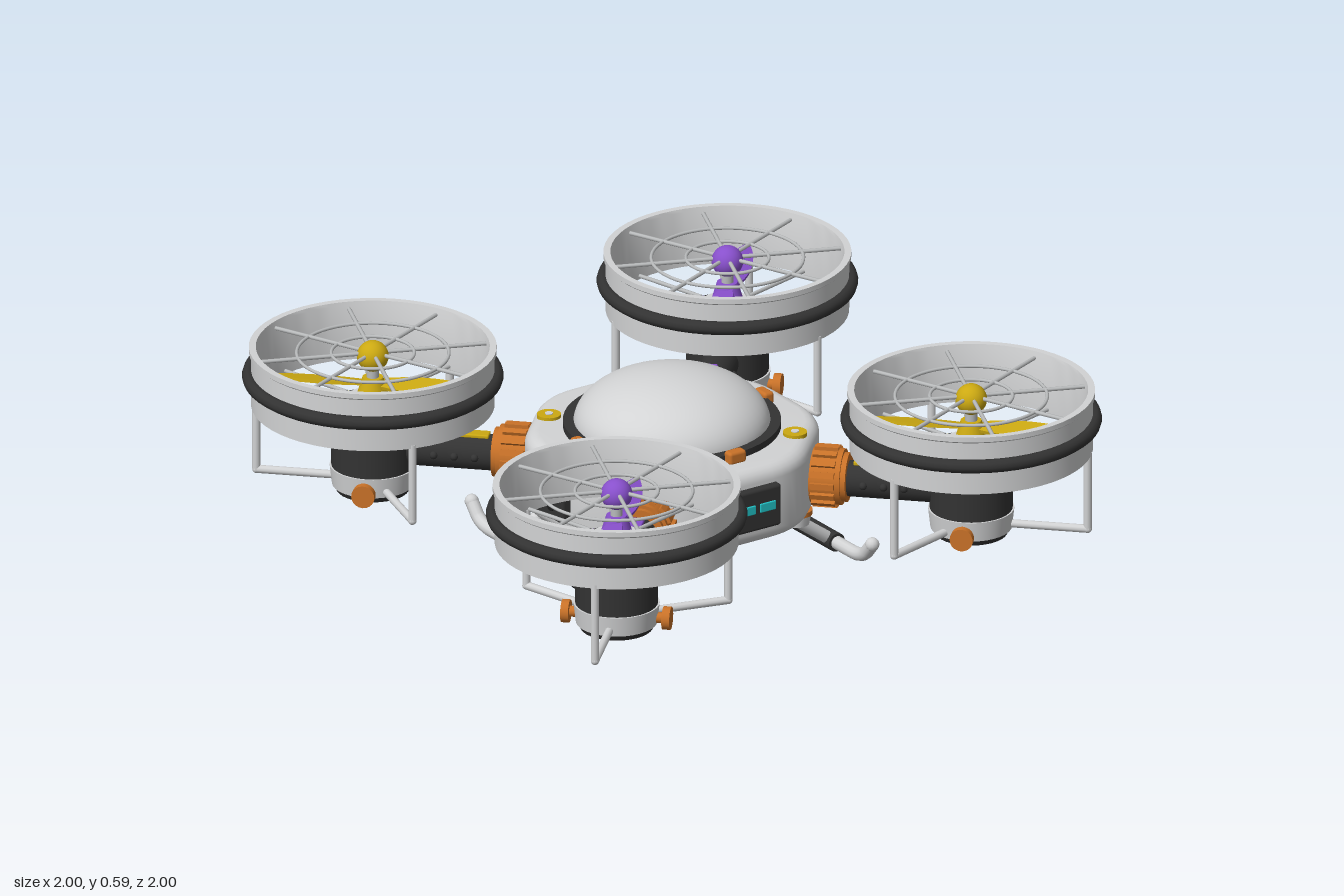
import * as THREE from 'three';
import { toCreasedNormals } from 'three/addons/utils/BufferGeometryUtils.js';
import { RoundedBoxGeometry } from 'three/addons/geometries/RoundedBoxGeometry.js';

const mat = (name, color, side = THREE.FrontSide) => {
  const m = new THREE.MeshStandardMaterial({ color, side });
  m.name = name;
  return m;
};
const V = (x, y, z) => new THREE.Vector3(x, y, z);

export function createModel() {
  const shell = mat('light shell', 0xd2d3d4, THREE.DoubleSide);
  const wire = mat('grey metal', 0xb9bbbc);
  const dark = mat('dark rubber', 0x333333);
  const black = mat('black vent', 0x1c1c1c);
  const orange = mat('orange', 0xc97228);
  const purple = mat('purple', 0x8850cc);
  const yellow = mat('yellow', 0xcca912);
  const teal = mat('teal', 0x10999e);
  const glow = mat('bright teal', 0x22c4c8);

  const add = (parent, name, geo, material, x = 0, y = 0, z = 0) => {
    const m = new THREE.Mesh(geo, material);
    m.name = name;
    m.position.set(x, y, z);
    parent.add(m);
    return m;
  };
  const cyl = (r1, r2, h, n = 32) => new THREE.CylinderGeometry(r1, r2, h, n);
  const box = (w, h, d, r = 0.01) => new RoundedBoxGeometry(w, h, d, 2, r);
  // straight rod between two points
  const rod = (parent, name, a, b, r, material, n = 10) => {
    const m = add(parent, name, cyl(r, r, a.distanceTo(b), n), material);
    m.position.copy(a).lerp(b, 0.5);
    m.quaternion.setFromUnitVectors(V(0, 1, 0), b.clone().sub(a).normalize());
    return m;
  };
  const ring = (parent, name, R, r, y, material, x = 0) => {
    const m = add(parent, name, new THREE.TorusGeometry(R, r, 10, 56), material, x, y, 0);
    m.rotation.x = Math.PI / 2;
    return m;
  };
  const lathe = (pts, n = 56) => toCreasedNormals(
    new THREE.LatheGeometry(pts.map(p => new THREE.Vector2(...p)), n), 0.6);

  const model = new THREE.Group();
  model.name = 'quadcopter';

  // Body: octagon with softened corners and bevelled edges
  const body = new THREE.Group();
  body.name = 'body';
  model.add(body);
  const shape = new THREE.Shape();
  const oct = [...Array(8)].map((_, i) => {
    const a = (i + 0.5) * Math.PI / 4;
    return new THREE.Vector2(Math.cos(a), Math.sin(a)).multiplyScalar(0.375 / Math.cos(Math.PI / 8));
  });
  oct.forEach((p, i) => {
    const a = p.clone().lerp(oct[(i + 7) % 8], 0.28), b = p.clone().lerp(oct[(i + 1) % 8], 0.28);
    if (i) shape.lineTo(a.x, a.y); else shape.moveTo(a.x, a.y);
    shape.quadraticCurveTo(p.x, p.y, b.x, b.y);
  });
  const hull = new THREE.ExtrudeGeometry(shape, {
    depth: 0.155, bevelSize: 0.04, bevelThickness: 0.04, bevelSegments: 5, curveSegments: 6 });
  hull.rotateX(-Math.PI / 2);
  add(body, 'hull', toCreasedNormals(hull, 0.6), shell, 0, 0.195, 0);
  add(body, 'domeSeal', cyl(0.315, 0.315, 0.025, 56), dark, 0, 0.398, 0);
  add(body, 'dome', new THREE.SphereGeometry(0.285, 48, 20, 0, Math.PI * 2, 0, Math.PI / 2)
    .scale(1, 0.55, 1), shell, 0, 0.4, 0);
  for (let i = 0; i < 4; i++) {
    const a = i * Math.PI / 2;
    const clip = add(body, 'domeClip', box(0.035, 0.04, 0.06), orange,
      0.322 * Math.cos(a), 0.405, 0.322 * Math.sin(a));
    clip.rotation.y = -a;
  }
  for (let i = 0; i < 12; i++) {
    const a = i * Math.PI / 6 + Math.PI / 4;
    add(body, 'undersideStud', cyl(0.024, 0.018, 0.02, 6), shell,
      0.33 * Math.cos(a), 0.148, 0.33 * Math.sin(a));
  }

  // Front sensor panel
  add(body, 'frontPanel', box(0.17, 0.13, 0.04), dark, 0, 0.275, 0.417);
  for (const s of [-1, 1])
    add(body, 'frontWindow', box(0.055, 0.028, 0.008, 0.003), glow, s * 0.035, 0.28, 0.437);

  // Side vent panels
  for (const s of [-1, 1]) {
    add(body, 'sidePanel', box(0.04, 0.13, 0.17), dark, s * 0.422, 0.275, 0);
    const hole = (y, z, r) => {
      add(body, 'ventHole', cyl(r, r, 0.006, 14), black, s * 0.443, y, z).rotation.z = Math.PI / 2;
    };
    for (let i = 0; i < 4; i++) hole(0.295, (i - 1.5) * 0.036, 0.011);
    for (const z of [-0.027, 0.027]) hole(0.255, z, 0.017);
  }

  // Rear battery hatch
  add(body, 'rearHatch', box(0.28, 0.14, 0.04), teal, 0, 0.255, -0.432);
  add(body, 'hatchLatch', box(0.07, 0.035, 0.025), orange, 0, 0.275, -0.457);

  // Landing skids
  for (const s of [-1, 1]) {
    const skid = new THREE.Group();
    skid.name = s > 0 ? 'leftSkid' : 'rightSkid';
    model.add(skid);
    const x = s * 0.385;
    const path = new THREE.CurvePath();
    const pt = (y, z) => V(x, y, z);
    path.add(new THREE.LineCurve3(pt(0.085, -0.46), pt(0.05, -0.43)));
    path.add(new THREE.QuadraticBezierCurve3(pt(0.05, -0.43), pt(0.028, -0.405), pt(0.028, -0.36)));
    path.add(new THREE.LineCurve3(pt(0.028, -0.36), pt(0.028, 0.36)));
    path.add(new THREE.QuadraticBezierCurve3(pt(0.028, 0.36), pt(0.028, 0.405), pt(0.05, 0.43)));
    path.add(new THREE.LineCurve3(pt(0.05, 0.43), pt(0.085, 0.46)));
    add(skid, 'skidTube', new THREE.TubeGeometry(path, 90, 0.02, 12), shell);
    for (const e of [-1, 1]) {
      add(skid, 'skidTip', new THREE.SphereGeometry(0.021, 12, 8), shell, x, 0.085, e * 0.46);
      rod(skid, 'skidGrip', pt(0.028, e * 0.08), pt(0.028, e * 0.28), 0.028, dark, 18);
      rod(skid, 'skidLeg', V(x, 0.028, e * 0.25), V(s * 0.265, 0.115, e * 0.25), 0.019, shell, 14);
      add(skid, 'legSocket', cyl(0.042, 0.036, 0.03, 20), shell, s * 0.265, 0.122, e * 0.25);
      add(skid, 'legCollar', cyl(0.046, 0.046, 0.014, 20), orange, s * 0.265, 0.146, e * 0.25);
    }
  }

  // Propeller blade outline
  const blade = new THREE.Shape();
  blade.moveTo(0.02, -0.02);
  blade.bezierCurveTo(0.12, -0.05, 0.24, -0.045, 0.33, 0);
  blade.bezierCurveTo(0.24, 0.045, 0.12, 0.05, 0.02, 0.02);
  const bladeGeo = new THREE.ExtrudeGeometry(blade, { depth: 0.01, bevelEnabled: false, curveSegments: 10 });
  bladeGeo.rotateX(-Math.PI / 2).rotateX(0.2);

  // One corner: arm, motor, ducted rotor; local +x points outward
  const corner = (sx, sz) => {
    const g = new THREE.Group();
    g.name = (sz > 0 ? 'front' : 'back') + (sx > 0 ? 'Left' : 'Right') + 'Rotor';
    g.rotation.y = -Math.atan2(sz, sx);
    model.add(g);
    const accent = sx * sz > 0 ? yellow : purple;
    const R = 0.878;

    add(g, 'marker', cyl(0.035, 0.035, 0.012, 24), accent, 0.361, 0.393, 0);
    add(g, 'markerDot', cyl(0.012, 0.012, 0.004, 12), shell, 0.361, 0.4, 0);
    rod(g, 'arm', V(0.4, 0.265, 0), V(R - 0.09, 0.265, 0), 0.053, dark, 24);
    add(g, 'armPlate', box(0.09, 0.012, 0.04, 0.004), accent, 0.58, 0.318, 0);
    for (const s of [-1, 1]) for (let i = 0; i < 3; i++)
      add(g, 'armStud', new THREE.SphereGeometry(0.012, 10, 6), dark, 0.57 + i * 0.06, 0.265, s * 0.052);

    // ribbed collar
    rod(g, 'collar', V(0.405, 0.268, 0), V(0.505, 0.268, 0), 0.082, orange, 32);
    rod(g, 'collarLip', V(0.5, 0.268, 0), V(0.52, 0.268, 0), 0.072, orange, 32);
    for (let i = 0; i < 16; i++) {
      const a = i * Math.PI / 8;
      add(g, 'collarRib', new THREE.BoxGeometry(0.07, 0.018, 0.018), orange,
        0.455, 0.268 + 0.083 * Math.sin(a), 0.083 * Math.cos(a)).rotation.x = -a;
    }

    const rotor = new THREE.Group();
    rotor.name = 'rotor';
    rotor.position.x = R;
    g.add(rotor);

    // motor stack
    add(rotor, 'motorFoot', cyl(0.115, 0.105, 0.02), dark, 0, 0.135, 0);
    add(rotor, 'motorBase', cyl(0.125, 0.118, 0.06), shell, 0, 0.173, 0);
    add(rotor, 'motorCan', cyl(0.12, 0.12, 0.145), dark, 0, 0.273, 0);
    add(rotor, 'motorBand', cyl(0.12, 0.122, 0.045), accent, 0, 0.367, 0);
    add(rotor, 'motorRim', cyl(0.107, 0.11, 0.008), dark, 0, 0.392, 0);
    add(rotor, 'motorTop', cyl(0.075, 0.08, 0.02), shell, 0, 0.403, 0);
    add(rotor, 'shaft', cyl(0.018, 0.018, 0.14, 14), wire, 0, 0.47, 0);
    for (let i = 0; i < 8; i++) {
      const a = (i + 0.5) * Math.PI / 4;
      add(rotor, 'bandTick', new THREE.BoxGeometry(0.006, 0.025, 0.012), shell,
        0.121 * Math.cos(a), 0.372, 0.121 * Math.sin(a)).rotation.y = -a;
    }
    for (const s of [-1, 1]) {
      rod(rotor, 'thumbScrewStem', V(0, 0.163, s * 0.1), V(0, 0.163, s * 0.14), 0.016, orange, 12);
      rod(rotor, 'thumbScrew', V(0, 0.163, s * 0.137), V(0, 0.163, s * 0.16), 0.034, orange, 20);
    }

    // propeller
    add(rotor, 'propellerHub', cyl(0.03, 0.045, 0.05, 24), accent, 0, 0.45, 0);
    for (let i = 0; i < 2; i++)
      add(rotor, 'blade', bladeGeo, accent, 0, 0.45, 0).rotation.y = i * Math.PI;

    // duct and bumper
    add(rotor, 'duct', lathe([[0.335, 0.39], [0.352, 0.39], [0.352, 0.55], [0.358, 0.555],
      [0.358, 0.57], [0.338, 0.57], [0.335, 0.56], [0.335, 0.39]]), shell);
    ring(rotor, 'bumper', 0.358, 0.02, 0.48, dark);

    // guard above and stator below
    ring(rotor, 'guardRing', 0.22, 0.005, 0.55, wire);
    ring(rotor, 'guardInnerRing', 0.12, 0.005, 0.55, wire);
    add(rotor, 'guardCap', new THREE.SphereGeometry(0.046, 24, 16), accent, 0, 0.54, 0);
    for (let i = 0; i < 8; i++) {
      const a = (i + 0.5) * Math.PI / 4, b = a + 0.14;
      rod(rotor, 'guardSpoke', V(0.03 * Math.cos(a), 0.55, 0.03 * Math.sin(a)),
        V(0.34 * Math.cos(a), 0.55, 0.34 * Math.sin(a)), 0.006, wire, 8);
      rod(rotor, 'statorSpoke', V(0.1 * Math.cos(b), 0.4, 0.1 * Math.sin(b)),
        V(0.34 * Math.cos(b), 0.4, 0.34 * Math.sin(b)), 0.006, wire, 8);
    }

    // three bent struts from motor base to duct
    for (let i = 0; i < 3; i++) {
      const a = i * Math.PI * 2 / 3, c = Math.cos(a), s = Math.sin(a);
      const elbow = V(0.342 * c, 0.16, 0.342 * s);
      rod(rotor, 'strutFoot', V(0.1 * c, 0.16, 0.1 * s), elbow, 0.012, shell);
      rod(rotor, 'strut', elbow, V(0.342 * c, 0.4, 0.342 * s), 0.012, shell);
      add(rotor, 'strutElbow', new THREE.SphereGeometry(0.0125, 10, 8), shell, elbow.x, elbow.y, elbow.z);
    }
  };
  for (const sx of [-1, 1]) for (const sz of [-1, 1]) corner(sx, sz);

  return model;
}
